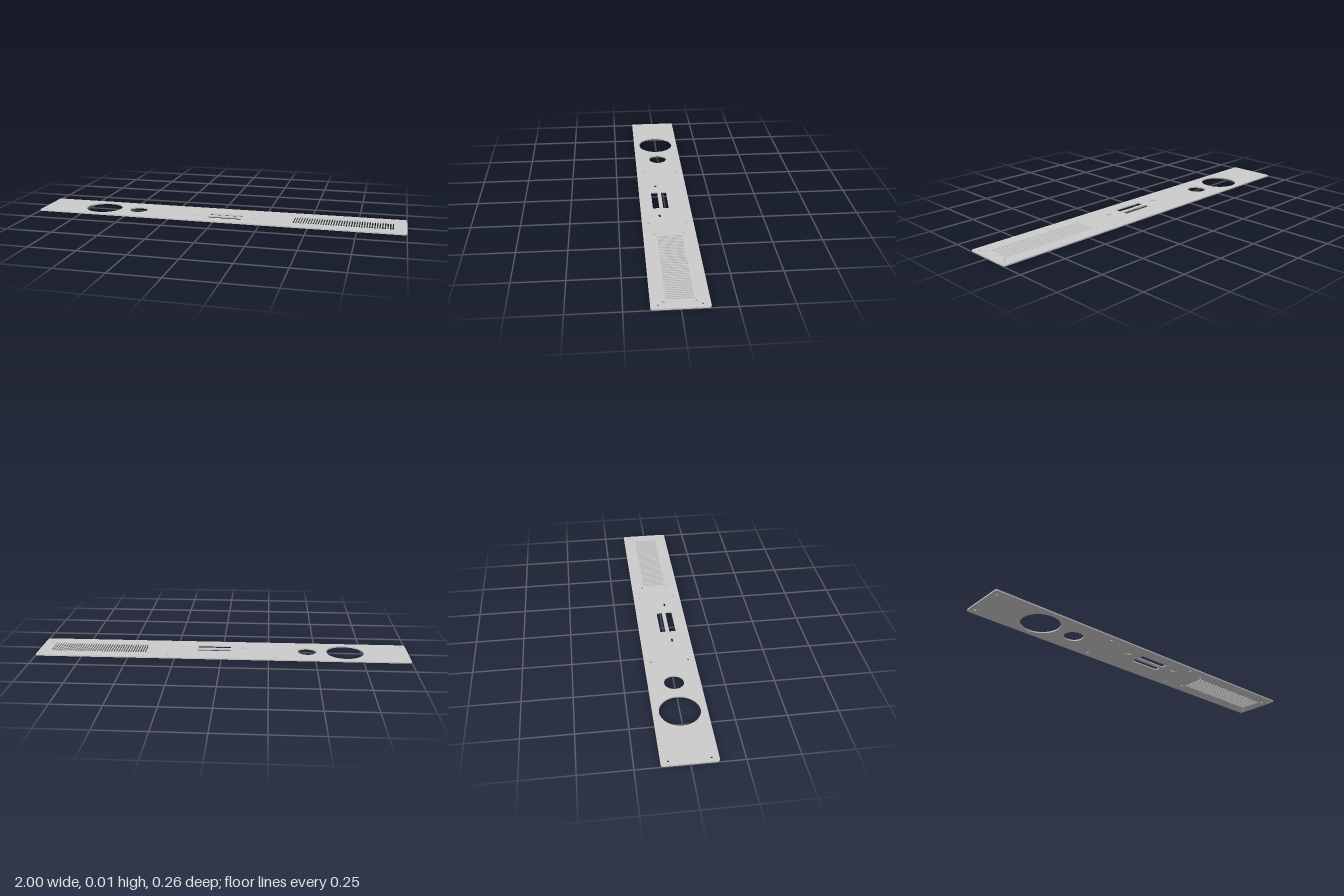
import * as THREE from 'three';

const LENGTH = 2, WIDTH = 0.264, THICKNESS = 0.007, CORNER = 0.012;

// Shapes are drawn in (x, -z) and laid flat afterwards.
function roundHole(x, z, r) {
  return new THREE.Path().absarc(x, -z, r, 0, Math.PI * 2, true);
}

function rectHole(x0, x1, z0, z1) {
  return new THREE.Path([[x0, z0], [x0, z1], [x1, z1], [x1, z0], [x0, z0]]
    .map(([x, z]) => new THREE.Vector2(x, -z)));
}

function roundedOutline(w, h, r) {
  const s = new THREE.Shape(), x = w / 2, y = h / 2;
  s.absarc(x - r, y - r, r, 0, Math.PI / 2);
  s.absarc(-x + r, y - r, r, Math.PI / 2, Math.PI);
  s.absarc(-x + r, -y + r, r, Math.PI, Math.PI * 1.5);
  s.absarc(x - r, -y + r, r, Math.PI * 1.5, Math.PI * 2);
  s.closePath();
  return s;
}

export function createModel() {
  const group = new THREE.Group();
  group.name = 'panel';
  const outline = roundedOutline(LENGTH, WIDTH, CORNER);
  const holes = outline.holes;

  // large and small round openings
  holes.push(roundHole(-0.663, 0, 0.1), roundHole(-0.459, 0, 0.05));

  // connector windows with a narrow bridge between them
  holes.push(rectHole(-0.043, 0.135, -0.018, 0.011), rectHole(-0.043, 0.135, 0.031, 0.066));

  // small slots and pin hole beside the windows
  holes.push(rectHole(-0.132, -0.102, 0.031, 0.041), rectHole(0.196, 0.226, 0.031, 0.041));
  holes.push(roundHole(-0.132, 0.021, 0.004));

  // mounting screw holes along both long edges
  for (const x of [-0.973, -0.289, 0.289, 0.973])
    for (const z of [-0.097, 0.097]) holes.push(roundHole(x, z, 0.006));

  // screw holes around the vent
  for (const x of [0.396, 0.952])
    for (const z of [-0.073, 0.073]) holes.push(roundHole(x, z, 0.006));

  // vent slots
  const slots = 40, start = 0.41, pitch = (0.937 - start) / slots;
  for (let i = 0; i < slots; i++) {
    const x = start + (i + 0.25) * pitch;
    holes.push(rectHole(x, x + pitch / 2, -0.063, 0.063));
  }

  const geometry = new THREE.ExtrudeGeometry(outline, {
    depth: THICKNESS, bevelEnabled: false, curveSegments: 24,
  });
  geometry.rotateX(-Math.PI / 2);
  const plate = new THREE.Mesh(geometry, new THREE.MeshStandardMaterial({ color: 0xcccccc }));
  plate.name = 'facePlate';
  group.add(plate);
  return group;
}
